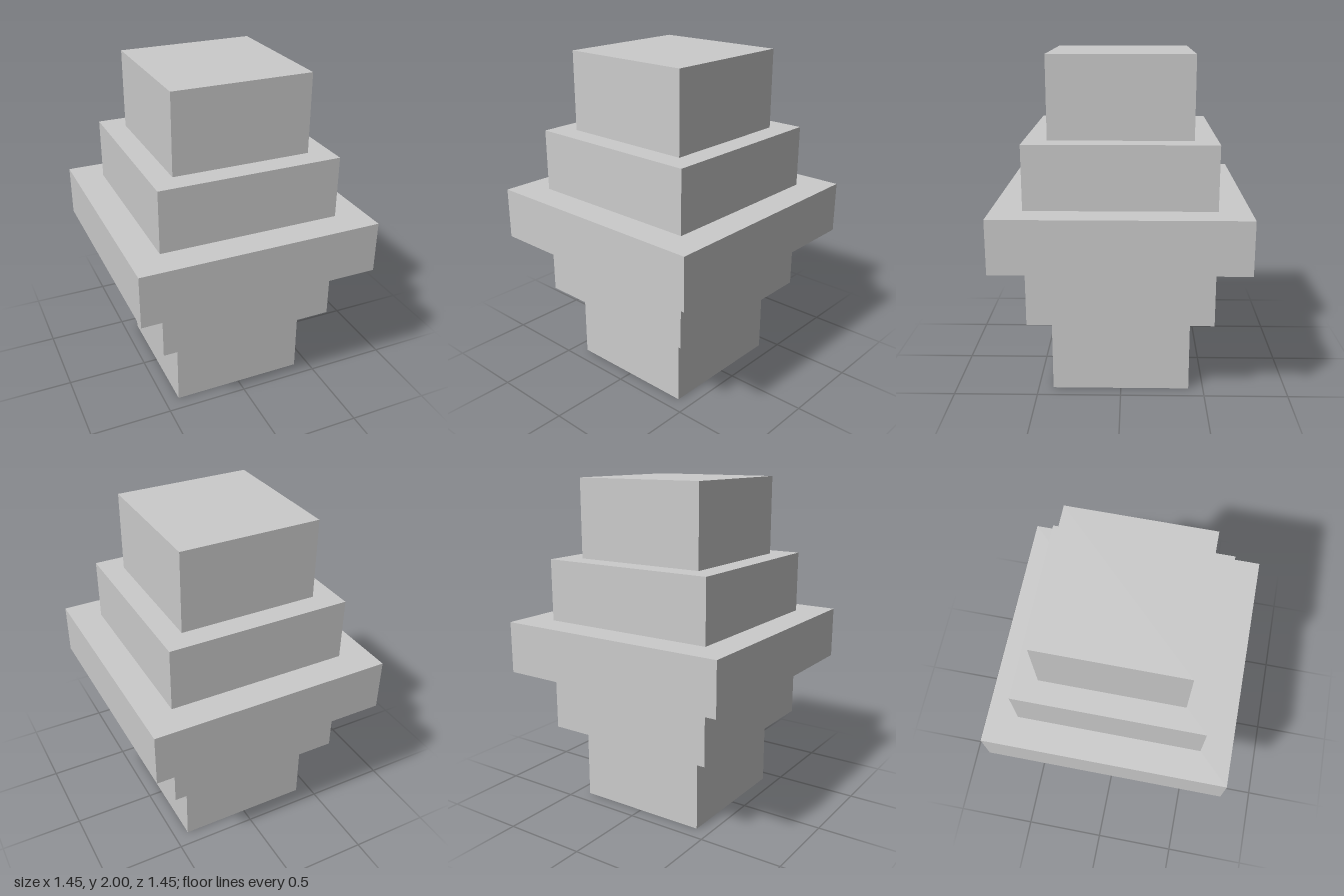
import * as THREE from 'three';

export function createModel() {
  const group = new THREE.Group();
  const material = new THREE.MeshStandardMaterial({ color: 0xcccccc, flatShading: true });

  // Stacked square slabs: name, width, bottom, top
  const tiers = [
    ['bottomBlock', 0.823, 0, 0.473],
    ['lowerStep', 1.086, 0.473, 0.845],
    ['middleSlab', 1.446, 0.845, 1.157],
    ['upperStep', 1.086, 1.157, 1.528],
    ['topBlock', 0.823, 1.528, 2],
  ];
  for (const [name, width, bottom, top] of tiers) {
    const tier = new THREE.Mesh(new THREE.BoxGeometry(width, top - bottom, width), material);
    tier.name = name;
    tier.position.y = (bottom + top) / 2;
    group.add(tier);
  }
  return group;
}
